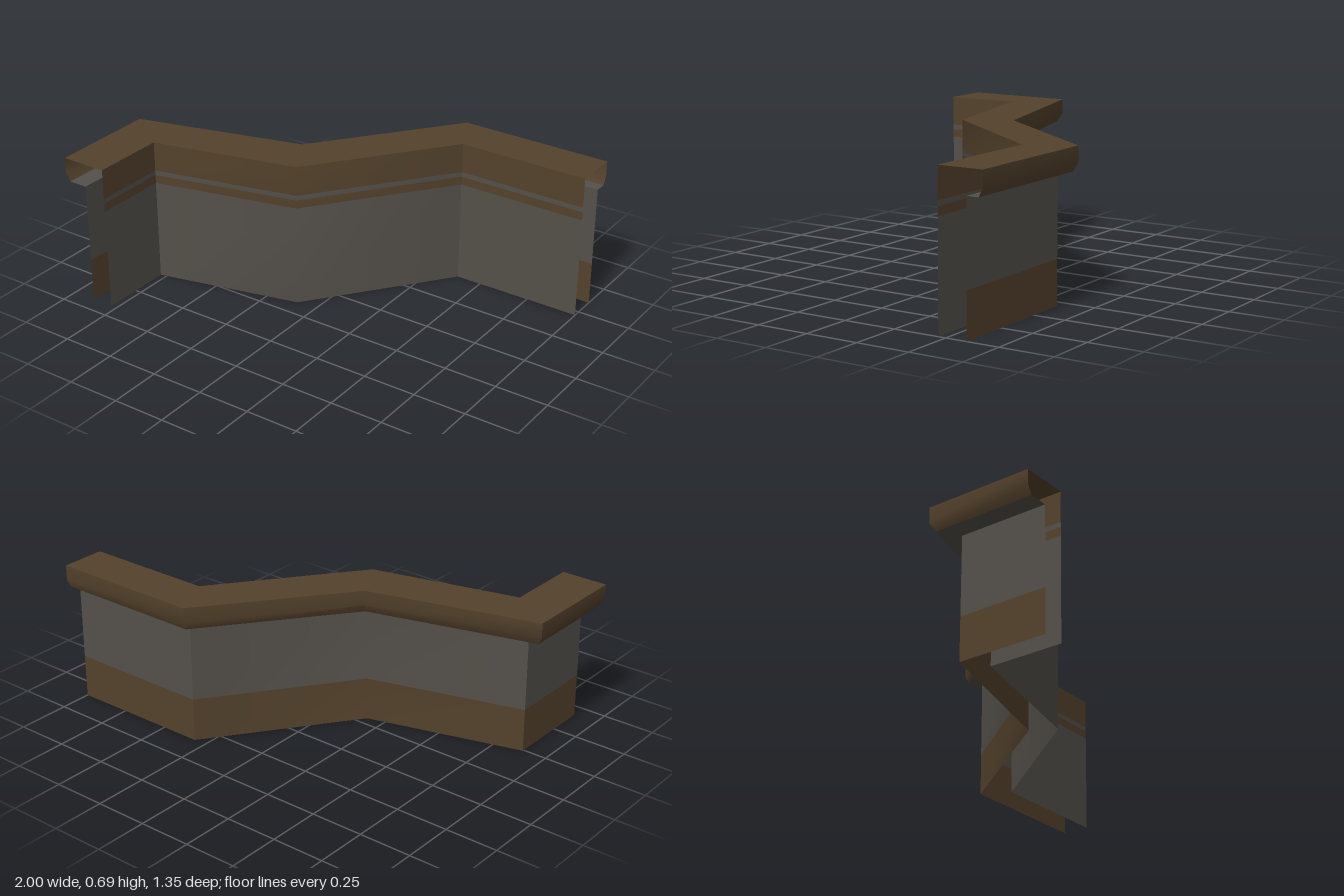
import * as THREE from 'three';
import { toCreasedNormals } from 'three/addons/utils/BufferGeometryUtils.js';

// Plan of the counter: staff-side edge and overhanging edge, as [x, z]
const INNER = [[-0.78, 0.672], [-0.78, 0.32], [-0.1, 0.16], [0.38, -0.465], [1, -0.465]];
const OUTER = [[-1, 0.672], [-1, 0.16], [-0.215, -0.046], [0.275, -0.675], [1, -0.675]];

// Depth across the counter at each station: 0 = inner edge, 1 = outer edge
const IN = [0, 0, 0, 0, 0];
const OUT = [1, 1, 1, 1, 1];
const LIP = [0.89, 0.89, 0.9, 0.91, 0.91];
const WALL = [0.48, 0.48, 0.55, 0.64, 0.64];

// Sweeps a profile of [depths, y] points along the plan
function sweep(profile) {
  const at = (i, [depth, y]) => {
    const t = depth[i];
    return [
      INNER[i][0] + (OUTER[i][0] - INNER[i][0]) * t,
      y,
      INNER[i][1] + (OUTER[i][1] - INNER[i][1]) * t,
    ];
  };
  const pos = [];
  for (let i = 0; i < INNER.length - 1; i++) {
    for (let j = 0; j < profile.length - 1; j++) {
      const a = at(i, profile[j]);
      const b = at(i + 1, profile[j]);
      const c = at(i + 1, profile[j + 1]);
      const d = at(i, profile[j + 1]);
      pos.push(...a, ...b, ...c, ...a, ...c, ...d);
    }
  }
  const geo = new THREE.BufferGeometry();
  geo.setAttribute('position', new THREE.Float32BufferAttribute(pos, 3));
  geo.computeVertexNormals();
  return toCreasedNormals(geo, 0.78);
}

export function createModel() {
  const material = (name, color) => {
    const m = new THREE.MeshStandardMaterial({ color, side: THREE.DoubleSide });
    m.name = name;
    return m;
  };
  const brown = material('brown wood', 0x54422c);
  const grey = material('weathered grey', 0x54504a);

  const group = new THREE.Group();
  group.name = 'counter';
  const add = (name, mat, profile) => {
    const mesh = new THREE.Mesh(sweep(profile), mat);
    mesh.name = name;
    group.add(mesh);
  };

  // Inner wall with its two trim bands
  add('innerWall', grey, [[IN, 0], [IN, 0.485]]);
  add('innerTrim', brown, [[IN, 0.485], [IN, 0.525]]);
  add('innerStripe', grey, [[IN, 0.525], [IN, 0.548]]);
  add('innerUpperBand', brown, [[IN, 0.548], [IN, 0.69]]);

  // Counter top and its chamfered outer lip
  add('counterTop', brown, [[IN, 0.69], [OUT, 0.69]]);
  add('lip', brown, [[OUT, 0.69], [OUT, 0.62], [LIP, 0.58]]);
  add('lipUnderside', grey, [[LIP, 0.58], [WALL, 0.58]]);

  // Outer wall and kick board; the ends and the base stay open
  add('outerWall', grey, [[WALL, 0.58], [WALL, 0.205]]);
  add('kickBoard', brown, [[WALL, 0.205], [WALL, 0]]);

  return group;
}
